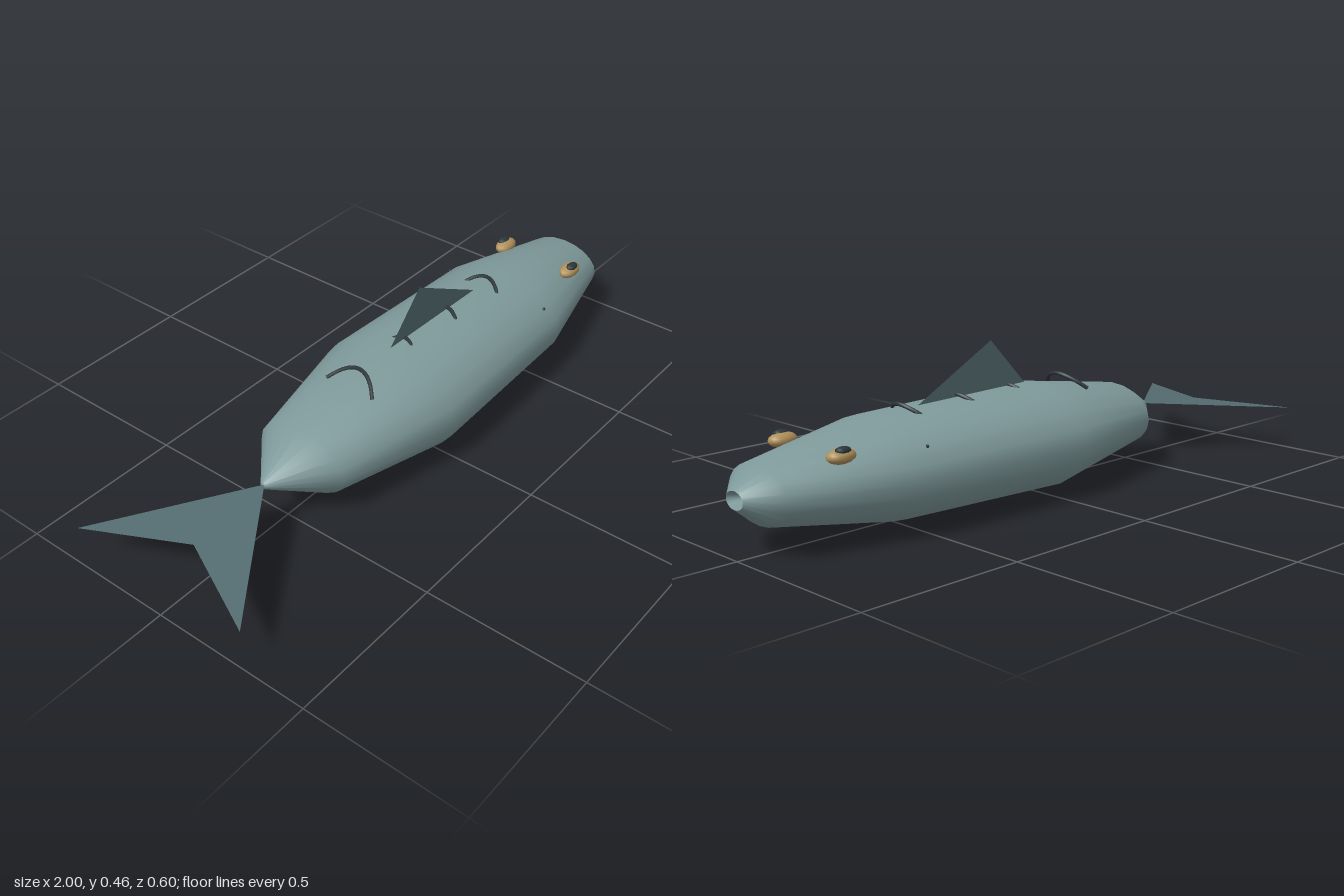
import * as THREE from 'three';

const mat = (color) => new THREE.MeshStandardMaterial({ color, side: THREE.DoubleSide });
const SIDES = 20;

// Elliptical loft along x; each ring is [x, centreY, halfHeight, halfWidth]
function loft(rings) {
  const pos = [], idx = [];
  for (const [x, cy, h, w] of rings) {
    for (let i = 0; i < SIDES; i++) {
      const a = (i / SIDES) * Math.PI * 2;
      pos.push(x, cy + Math.sin(a) * h, Math.cos(a) * w);
    }
  }
  for (let r = 0; r < rings.length - 1; r++) {
    for (let i = 0; i < SIDES; i++) {
      const j = (i + 1) % SIDES;
      const a = r * SIDES + i, b = r * SIDES + j, c = a + SIDES, d = b + SIDES;
      idx.push(a, c, b, b, c, d);
    }
  }
  const g = new THREE.BufferGeometry();
  g.setAttribute('position', new THREE.Float32BufferAttribute(pos, 3));
  g.setIndex(idx);
  g.computeVertexNormals();
  return g;
}

// Flat sheet as a fan around its first corner
function sheet(points) {
  const g = new THREE.BufferGeometry();
  g.setAttribute('position', new THREE.Float32BufferAttribute(points.flat(), 3));
  const idx = [];
  for (let i = 1; i < points.length - 1; i++) idx.push(0, i, i + 1);
  g.setIndex(idx);
  g.computeVertexNormals();
  return g;
}

export function createModel() {
  const model = new THREE.Group();
  const skin = mat(0x7f9a9b), finMat = mat(0x546c70), dark = mat(0x2a363a), gold = mat(0xb0905a);
  const add = (name, geometry, material, parent = model) => {
    const m = new THREE.Mesh(geometry, material);
    m.name = name;
    parent.add(m);
    return m;
  };

  // Body, from tail root to lips
  add('body', loft([
    [-0.59, 0.17, 0.001, 0.001],
    [-0.588, 0.17, 0.012, 0.012],
    [-0.43, 0.165, 0.1, 0.155],
    [-0.035, 0.163, 0.16, 0.247],
    [0.55, 0.165, 0.146, 0.226],
    [0.93, 0.164, 0.082, 0.13],
    [1.0, 0.163, 0.025, 0.038],
  ]), skin);

  // Mouth funnel running inward to a dark throat
  add('mouth', loft([[1.0, 0.163, 0.025, 0.038], [0.95, 0.163, 0.013, 0.02]]), skin);
  add('throat', loft([[0.95, 0.163, 0.013, 0.02], [0.94, 0.163, 0.0005, 0.0005]]), dark);

  // Fins
  add('dorsalFin', sheet([[-0.03, 0.32, 0], [0.4, 0.31, 0], [0.11, 0.465, 0]]), finMat);
  add('tailFin', sheet([
    [-0.585, 0.173, 0], [-1, 0.14, 0.3], [-0.86, 0.151, 0], [-1, 0.14, -0.3],
  ]), finMat);

  // Raised arches across the back: [peakX, peakY, halfWidth, drop]
  [[-0.172, 0.33, 0.085, 0.042], [0.04, 0.324, 0.05, 0.022],
    [0.248, 0.326, 0.06, 0.025], [0.462, 0.329, 0.07, 0.034]].forEach(([x, y, w, drop], n) => {
    const pts = [];
    for (let i = -3; i <= 3; i++) {
      const t = i / 3;
      pts.push(new THREE.Vector3(x - drop * 1.1 * t * t, y - drop * t * t, w * t));
    }
    add('backArch' + (n + 1), new THREE.TubeGeometry(new THREE.CatmullRomCurve3(pts), 16, 0.006, 6), dark);
  });

  // Eyes and small side spots, mirrored
  for (const s of [1, -1]) {
    const eye = new THREE.Group();
    eye.name = s > 0 ? 'leftEye' : 'rightEye';
    eye.position.set(0.76, 0.258, s * 0.127);
    model.add(eye);
    add('eyeball', new THREE.SphereGeometry(1, 12, 8), gold, eye).scale.set(0.045, 0.021, 0.028);
    const pupil = add('pupil', new THREE.SphereGeometry(1, 10, 6), dark, eye);
    pupil.scale.set(0.025, 0.011, 0.016);
    pupil.position.set(0, 0.016, s * 0.008);
    add('sideSpot', new THREE.SphereGeometry(0.005, 6, 4), dark).position.set(0.52, 0.252, s * 0.185);
  }
  return model;
}
